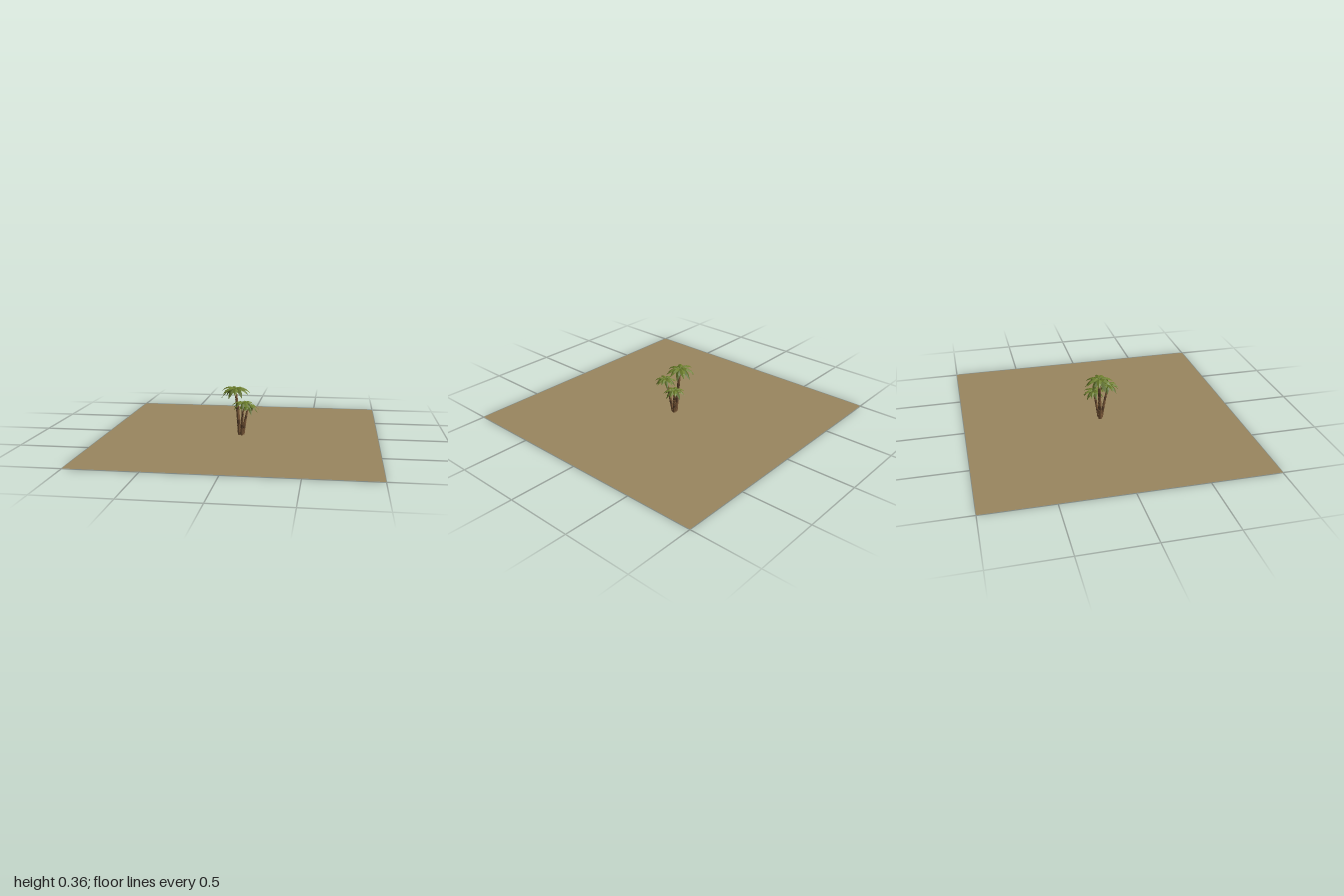
import * as THREE from 'three';

const material = (name, color) => {
  const m = new THREE.MeshStandardMaterial({ color, side: THREE.DoubleSide, flatShading: true });
  m.name = name;
  return m;
};

// Arched, pointed frond, folded along a raised midrib
function frondGeometry(length, lift, droop) {
  const stations = [[0, 0.03], [0.2, 0.11], [0.45, 0.18], [0.72, 0.14], [1, 0]];
  const positions = [], index = [];
  stations.forEach(([t, w], i) => {
    const y = lift * t - droop * t * t;
    for (const side of [-1, 0, 1]) {
      positions.push(t * length, (y - Math.abs(side) * w * 0.5) * length, side * w * length);
    }
    if (i === 0) return;
    const a = (i - 1) * 3, b = i * 3;
    for (const k of [0, 1]) {
      index.push(a + k, a + k + 1, b + k, a + k + 1, b + k + 1, b + k);
    }
  });
  const g = new THREE.BufferGeometry();
  g.setAttribute('position', new THREE.Float32BufferAttribute(positions, 3));
  g.setIndex(index);
  g.computeVertexNormals();
  return g;
}

// Leaning trunk made of stacked, slightly flared segments
function trunk(base, top, radius, bark, darkBark) {
  const group = new THREE.Group();
  group.name = 'trunk';
  const bend = base.clone().lerp(top, 0.5);
  bend.x -= (top.x - base.x) * 0.1;
  bend.z -= (top.z - base.z) * 0.1;
  const curve = new THREE.QuadraticBezierCurve3(base, bend, top);
  const count = 9;
  for (let i = 0; i < count; i++) {
    const a = curve.getPoint(i / count), b = curve.getPoint((i + 1) / count);
    const r = radius * (1 - 0.4 * i / count);
    const segment = new THREE.Mesh(
      new THREE.CylinderGeometry(r * 1.08, r * 0.92, a.distanceTo(b), 8), i % 3 === 2 ? darkBark : bark);
    segment.name = 'trunkSegment';
    segment.position.copy(a).lerp(b, 0.5);
    segment.quaternion.setFromUnitVectors(new THREE.Vector3(0, 1, 0), b.clone().sub(a).normalize());
    group.add(segment);
  }
  return group;
}

export function createModel() {
  const model = new THREE.Group();
  model.name = 'palmIsland';
  const sand = material('sand', 0x9a865f);
  const bark = material('bark', 0x7a5838);
  const darkBark = material('dark bark', 0x5e432c);
  const leaf = material('leaf green', 0x6b7d2b);
  const darkLeaf = material('dark leaf green', 0x596a24);

  // Flat square of ground
  const ground = new THREE.Mesh(new THREE.PlaneGeometry(2, 2).rotateX(-Math.PI / 2), sand);
  ground.name = 'ground';
  model.add(ground);

  // Three palms sharing one root: base, crown centre, frond length, trunk radius
  const palms = [
    { name: 'tallPalm', base: [-0.012, 0, 0], top: [-0.045, 0.34, -0.015], reach: 0.11, radius: 0.014 },
    { name: 'middlePalm', base: [0.004, 0, 0.014], top: [0.023, 0.255, 0.07], reach: 0.083, radius: 0.011 },
    { name: 'shortPalm', base: [0.012, 0, -0.004], top: [0.045, 0.205, -0.037], reach: 0.083, radius: 0.011 },
  ];
  palms.forEach((p, n) => {
    const palm = new THREE.Group();
    palm.name = p.name;
    const top = new THREE.Vector3(...p.top);
    palm.add(trunk(new THREE.Vector3(...p.base), top, p.radius, bark, darkBark));

    // Rosette of fronds, alternating raised and drooping
    const crown = new THREE.Group();
    crown.name = 'crown';
    crown.position.copy(top);
    const count = 13;
    for (let i = 0; i < count; i++) {
      const low = i % 2;
      const vary = 0.06 * Math.sin(i * 2.4 + n);
      const frond = new THREE.Mesh(
        frondGeometry(p.reach * (low ? 0.95 : 1), (low ? 0.62 : 0.75) + vary, low ? 1.2 : 1.0),
        low ? darkLeaf : leaf);
      frond.name = 'frond';
      frond.rotation.y = i / count * Math.PI * 2 + n * 0.4;
      crown.add(frond);
    }
    palm.add(crown);
    model.add(palm);
  });
  return model;
}
